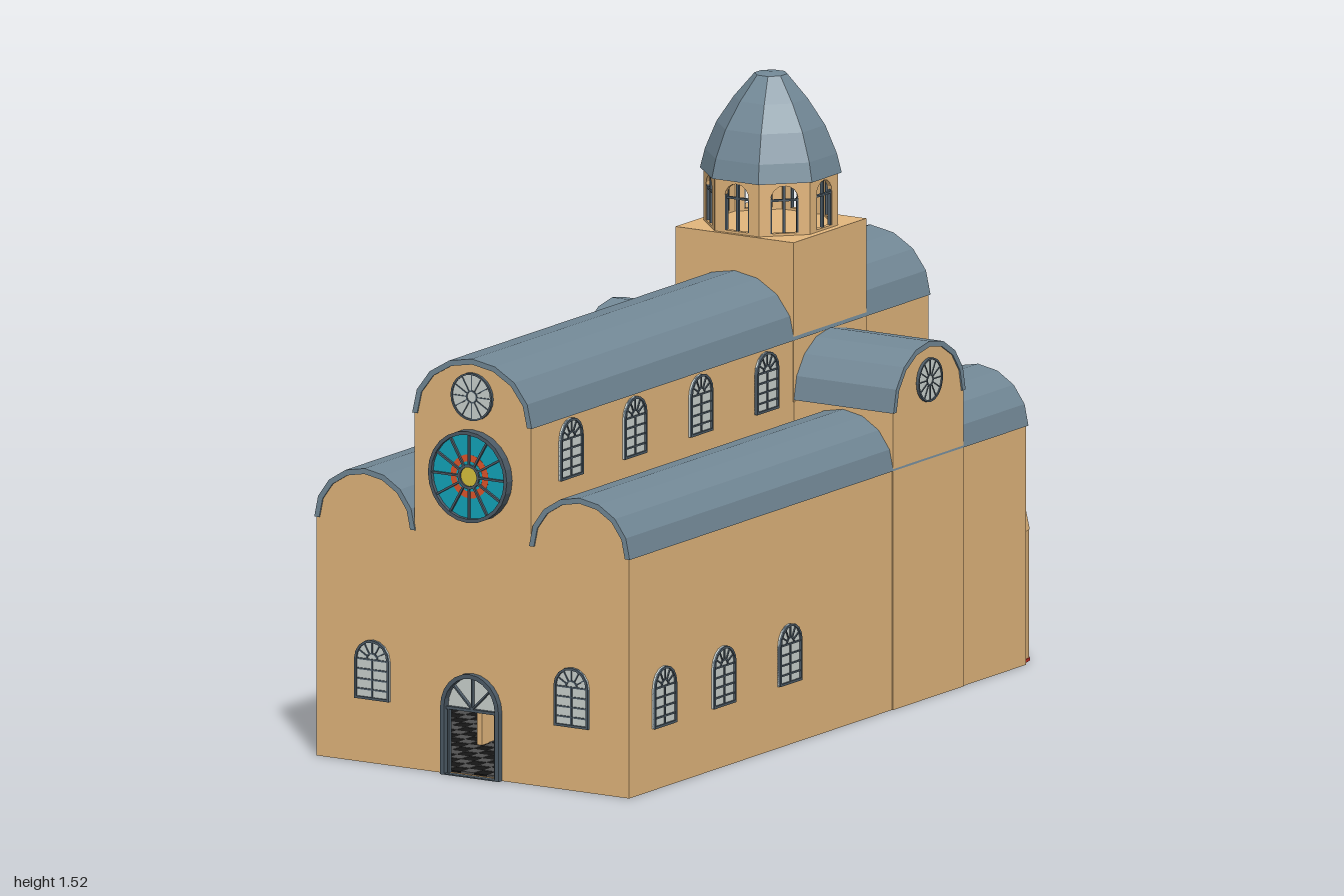
import * as THREE from 'three';
import { mergeGeometries } from 'three/addons/utils/BufferGeometryUtils.js';

const mat = (color) => new THREE.MeshStandardMaterial({ color, flatShading: true, side: THREE.DoubleSide });
const WALL = mat(0xe2b67c), ROOF = mat(0x728896), FRAME = mat(0x4d5b66), PANE = mat(0xcbd3cf);
const RED = mat(0xc8322a), TEAL = mat(0x12a5bb), ORANGE = mat(0xe0552a), GOLD = mat(0xd9c23c);
const BLACK = mat(0x151515), TILE = mat(0x505050);

const FRONT = 0.975, BACK = -0.83, AISLE_X = 0.3125, AISLE_HW = 0.1425, NAVE_HW = 0.17, CROSS_Z = -0.38;

function add(parent, name, geo, material, x = 0, y = 0, z = 0, ry = 0) {
  const m = new THREE.Mesh(geo, material);
  m.name = name;
  m.position.set(x, y, z);
  m.rotation.y = ry;
  parent.add(m);
  return m;
}
const box = (w, h, d, x = 0, y = 0, z = 0) => new THREE.BoxGeometry(w, h, d).translate(x, y, z);
const extrude = (shape, depth) => new THREE.ExtrudeGeometry(shape, { depth, bevelEnabled: false, curveSegments: 12 });

// Points of a faceted arch from right foot to left foot
function arc(hw, base, rise, n = 8, cx = 0) {
  return Array.from({ length: n + 1 }, (_, i) => {
    const a = (i / n) * Math.PI;
    return new THREE.Vector2(cx + hw * Math.cos(a), base + rise * Math.sin(a));
  });
}
// Closed outline: upright rectangle with an arched top
const archPoints = (hw, y0, base, rise, n = 8, cx = 0) =>
  [new THREE.Vector2(cx - hw, y0), new THREE.Vector2(cx + hw, y0), ...arc(hw, base, rise, n, cx)];

function archWall(outline, depth, holes = []) {
  const s = new THREE.Shape(outline);
  holes.forEach((h) => s.holes.push(new THREE.Path(h)));
  return extrude(s, depth);
}

// Barrel roof shell running along z, centred
function barrel(hw, base, rise, length, t = 0.014) {
  const s = new THREE.Shape([...arc(hw, base, rise), ...arc(hw - t, base, rise - t).reverse()]);
  return extrude(s, length).translate(0, 0, -length / 2);
}

// Spoke pointing out from (0, cy) at angle a
const spoke = (a, r0, r1, cy, w, d) =>
  box(r1 - r0, w, d, (r0 + r1) / 2, 0, 0).rotateZ(a).translate(0, cy, 0);

// Arched window facing +z with its sill at y = 0
function archWindow(parent, name, x, y, z, ry) {
  const g = new THREE.Group(), hw = 0.05, spring = 0.1;
  g.name = name;
  g.position.set(x, y, z);
  g.rotation.y = ry;
  add(g, 'pane', archWall(archPoints(hw, 0, spring, hw), 0.004), PANE);
  const bars = [
    archWall(archPoints(hw, 0, spring, hw), 0.009, [archPoints(hw - 0.006, 0.006, spring, hw - 0.006)]),
    extrude(new THREE.Shape([...arc(0.018, spring, 0.018), ...arc(0.014, spring, 0.014).reverse()]), 0.007),
  ].map((b) => b.toNonIndexed ? (b.index ? b.toNonIndexed() : b) : b);
  for (let i = 1; i <= 4; i++) bars.push(box(0.096, 0.004, 0.007, 0, i * 0.025, 0.0035).toNonIndexed());
  bars.push(box(0.004, 0.1, 0.007, 0, 0.05, 0.0035).toNonIndexed());
  for (let i = 1; i < 6; i++) bars.push(spoke((i * Math.PI) / 6, 0.016, 0.046, spring, 0.003, 0.007).translate(0, 0, 0.0035).toNonIndexed());
  add(g, 'windowBars', mergeGeometries(bars), FRAME);
  parent.add(g);
}

// Flat ring, facing +z
function ring(r1, r0, depth) {
  const s = new THREE.Shape().absarc(0, 0, r1, 0, Math.PI * 2);
  s.holes.push(new THREE.Path().absarc(0, 0, r0, 0, Math.PI * 2));
  return new THREE.ExtrudeGeometry(s, { depth, bevelEnabled: false, curveSegments: 12 });
}
// Round window; bands are [radius, material], largest first
function roseWindow(parent, name, r, bands, depth, x, y, z, ry) {
  const g = new THREE.Group();
  g.name = name;
  g.position.set(x, y, z);
  g.rotation.y = ry;
  bands.forEach(([br, m], i) =>
    add(g, 'glass', new THREE.CylinderGeometry(br, br, depth * 0.6 + i * 0.001, 24).rotateX(Math.PI / 2), m, 0, 0, depth * 0.3));
  const bars = [ring(r, r * 0.92, depth), ring(r * 0.27, r * 0.21, depth * 0.85)];
  for (let i = 0; i < 12; i++)
    bars.push(spoke((i * Math.PI) / 6, r * 0.22, r * 0.95, 0, r * 0.045, depth * 0.85).translate(0, 0, depth * 0.425).toNonIndexed());
  add(g, 'tracery', mergeGeometries(bars), FRAME);
  parent.add(g);
}

// Half-round apse with half dome, bulging to -z
function apse(parent, name, x, rx, rz, wallTop, top, domeMat) {
  const half = (pts) => new THREE.LatheGeometry(pts.map((p) => new THREE.Vector2(...p)), 8, Math.PI / 2, Math.PI).scale(rx, 1, rz);
  const dome = [0, 1, 2, 3, 4].map((i) => {
    const a = (i * Math.PI) / 8;
    return [Math.cos(a), wallTop + (top - wallTop) * Math.sin(a)];
  });
  add(parent, name + 'Wall', half([[0.985, 0], [0.985, wallTop]]), WALL, x, 0, BACK);
  add(parent, name + 'Dome', half(dome), domeMat, x, 0, BACK);
  add(parent, name + 'Floor', new THREE.CylinderGeometry(1, 1, 0.008, 16).scale(rx, 1, rz), RED, x, 0.004, BACK);
}

export function createModel() {
  const root = new THREE.Group();
  root.name = 'church';
  const T = 0.014, len = FRONT - BACK, midZ = (FRONT + BACK) / 2;

  // Gable walls, front and back
  const naveOutline = archPoints(NAVE_HW, 0, 0.895, 0.145);
  const aisleOutline = archPoints(AISLE_HW, 0, 0.6, 0.13);
  add(root, 'naveFront', archWall(naveOutline, T, [archPoints(0.08, 0.004, 0.17, 0.085, 12)]), WALL, 0, 0, FRONT - T);
  add(root, 'naveBack', archWall(naveOutline, T, [archPoints(0.14, 0.004, 0.55, 0.14)]), WALL, 0, 0, BACK);
  for (const s of [-1, 1]) {
    const x = s * AISLE_X;
    add(root, 'aisleFront', archWall(aisleOutline, T), WALL, x, 0, FRONT - T);
    add(root, 'aisleBack', archWall(aisleOutline, T, [archPoints(0.1, 0.004, 0.3, 0.1)]), WALL, x, 0, BACK);
    add(root, 'aisleSideWall', box(T, 0.605, len), WALL, s * (0.455 - T / 2), 0.3025, midZ);
    add(root, 'aisleRoof', barrel(AISLE_HW + 0.004, 0.6, 0.138, len + 0.008), ROOF, x, 0, midZ);

    // Nave wall with arcade below and clerestory above
    const holes = [0.8, 0.51, 0.21, -0.09].map((z) => archPoints(0.11, 0.004, 0.38, 0.11, 8, -z));
    holes.push(archPoints(0.13, 0.004, 0.42, 0.13, 8, -CROSS_Z), archPoints(0.1, 0.004, 0.38, 0.1, 8, 0.68));
    const wall = [[-FRONT, 0], [-BACK, 0], [-BACK, 0.9], [-FRONT, 0.9]].map((p) => new THREE.Vector2(...p));
    add(root, 'naveWall', archWall(wall, T, holes).rotateY(Math.PI / 2), WALL, s > 0 ? NAVE_HW - T : -NAVE_HW);

    // Transept arm
    add(root, 'transeptEnd', archWall(archPoints(0.16, 0, 0.745, 0.143), T), WALL, s * (0.458 - T), 0, CROSS_Z, (s * Math.PI) / 2);
    for (const e of [-1, 1])
      add(root, 'transeptWall', box(0.288, 0.15, T), WALL, s * 0.311, 0.672, CROSS_Z + e * (0.16 - T / 2));
    add(root, 'transeptRoof', barrel(0.164, 0.745, 0.152, 0.295), ROOF, s * 0.3145, 0, CROSS_Z, Math.PI / 2);

    // Windows on this side
    const side = (s * Math.PI) / 2;
    for (const z of [0.82, 0.55, 0.25]) archWindow(root, 'aisleWindow', s * 0.455, 0.155, z, side);
    for (const z of [0.8, 0.51, 0.21, -0.09]) archWindow(root, 'clerestoryWindow', s * NAVE_HW, 0.74, z, side);
    archWindow(root, 'frontWindow', s * 0.29, 0.16, FRONT, 0);
    roseWindow(root, 'transeptRose', 0.055, [[0.054, PANE]], 0.008, s * 0.458, 0.8, CROSS_Z, side);
    roseWindow(root, 'aisleBackRose', 0.052, [[0.051, PANE]], 0.008, x, 0.615, BACK, Math.PI);
    apse(root, 'sideApse', x, 0.135, 0.115, 0.33, 0.46, WALL);
  }
  apse(root, 'mainApse', 0, 0.168, 0.17, 0.62, 0.81, ROOF);
  add(root, 'naveRoof', barrel(NAVE_HW + 0.004, 0.895, 0.155, len + 0.008), ROOF, 0, 0, midZ);

  // Round windows of the nave
  roseWindow(root, 'upperRose', 0.06, [[0.059, PANE]], 0.008, 0, 0.955, FRONT, 0);
  roseWindow(root, 'backRose', 0.06, [[0.059, PANE]], 0.008, 0, 0.94, BACK, Math.PI);
  roseWindow(root, 'greatRose', 0.115, [[0.112, TEAL], [0.055, ORANGE], [0.038, TEAL], [0.028, GOLD]], 0.025, 0, 0.757, FRONT, 0);

  // Doorway: frame, fanlight and slender uprights
  add(root, 'doorFrame', archWall(archPoints(0.085, 0, 0.17, 0.09, 12), 0.024, [archPoints(0.074, 0.003, 0.17, 0.079, 12)]), FRAME, 0, 0, FRONT - 0.008);
  add(root, 'fanlight', extrude(new THREE.Shape(arc(0.076, 0.17, 0.08, 12)), 0.004), PANE, 0, 0, FRONT - 0.008);
  const doorBars = [box(0.15, 0.007, 0.012, 0, 0.167, 0)];
  for (let i = 1; i < 4; i++) doorBars.push(spoke((i * Math.PI) / 4, 0, 0.076, 0.17, 0.004, 0.012));
  for (const x of [-0.068, 0.068]) doorBars.push(box(0.005, 0.165, 0.012, x, 0.083, 0));
  add(root, 'doorBars', mergeGeometries(doorBars), FRAME, 0, 0, FRONT);

  // Crossing tower
  add(root, 'towerBase', box(0.344, 0.4, 0.33), WALL, 0, 0.94, CROSS_Z);
  const panel = archWall(archPoints(0.064, 0, 0.134, 0.0001, 2), 0.012, [archPoints(0.035, 0.006, 0.09, 0.035)]);
  const mullion = mergeGeometries([
    box(0.006, 0.12, 0.008, 0, 0.064, 0), box(0.07, 0.005, 0.008, 0, 0.088, 0),
    box(0.005, 0.09, 0.01, -0.034, 0.05, 0), box(0.005, 0.09, 0.01, 0.034, 0.05, 0),
  ]);
  for (let i = 0; i < 8; i++) {
    const g = new THREE.Group();
    g.name = 'lanternSide';
    g.position.set(0, 1.14, CROSS_Z);
    g.rotation.y = (i * Math.PI) / 4;
    add(g, 'lanternPanel', panel, WALL, 0, 0, 0.143);
    add(g, 'lanternBars', mullion, FRAME, 0, 0, 0.149);
    root.add(g);
  }
  const k = 1 / Math.cos(Math.PI / 8);
  const spire = [[0, 1.272], [0.163, 1.272], [0.152, 1.32], [0.125, 1.39], [0.085, 1.455], [0.038, 1.515], [0, 1.52]]
    .map(([r, y]) => new THREE.Vector2(r * k, y));
  add(root, 'lanternRoof', new THREE.LatheGeometry(spire, 8, Math.PI / 8), ROOF, 0, 0, CROSS_Z);

  // Chequered floor
  add(root, 'floorBase', box(0.9, 0.005, len - 0.01), BLACK, 0, 0.0055, midZ);
  const tiles = [], n = 24, rows = 46, tw = 0.9 / n, td = (len - 0.01) / rows;
  for (let i = 0; i < n; i++)
    for (let j = i % 2; j < rows; j += 2)
      tiles.push(box(tw, 0.008, td, -0.45 + (i + 0.5) * tw, 0.0055, BACK + 0.005 + (j + 0.5) * td));
  add(root, 'floorTiles', mergeGeometries(tiles), TILE);

  // Red chancel floor and steps
  add(root, 'chancelFloor', box(0.33, 0.012, 0.29), RED, 0, 0.006, -0.685);
  for (let i = 0; i < 4; i++)
    add(root, 'chancelStep', box(0.3, 0.025, 0.32 - i * 0.04), RED, 0, 0.0225 + i * 0.025, -0.66 - i * 0.02);
  return root;
}
